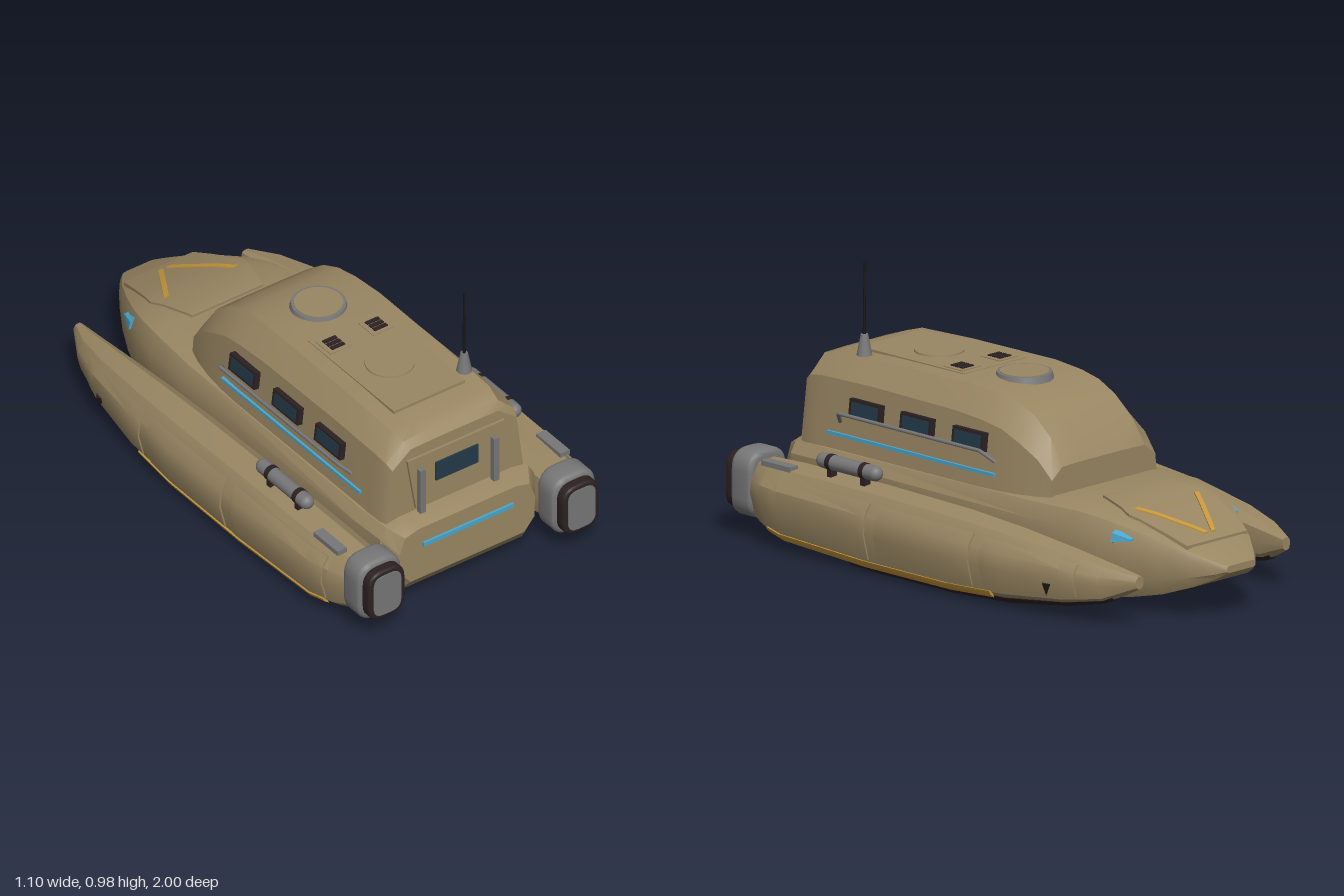
import * as THREE from 'three';
import { toCreasedNormals } from 'three/addons/utils/BufferGeometryUtils.js';

const mat = (name, color) => Object.assign(new THREE.MeshStandardMaterial({ color }), { name });

export function createModel() {
  const M = {
    tan: mat('tan paint', 0x9a8763), grey: mat('grey metal', 0x777777), dark: mat('dark trim', 0x2c2122),
    belly: mat('belly black', 0x1a1413), glass: mat('window glass', 0x233a48), blue: mat('blue light', 0x4aa6cc),
    gold: mat('gold marking', 0xc8983c), black: mat('antenna black', 0x161616),
  };
  const root = new THREE.Group();
  root.name = 'boat';
  const add = (name, geo, m, x = 0, y = 0, z = 0, rx = 0, ry = 0, rz = 0) => {
    const mesh = new THREE.Mesh(geo, m);
    mesh.name = name;
    mesh.position.set(x, y, z);
    mesh.rotation.set(rx, ry, rz);
    root.add(mesh);
    return mesh;
  };
  const box = (w, h, d) => new THREE.BoxGeometry(w, h, d);
  const cyl = (r0, r1, h, n = 20) => new THREE.CylinderGeometry(r0, r1, h, n);

  // Skin over sections ordered from +z to -z, each a counter-clockwise ring
  const loft = (sections, s = 1, crease = 0.5) => {
    const n = sections[0].pts.length, pos = [], idx = [];
    for (const { z, pts } of sections) {
      const ring = s > 0 ? pts : pts.map(([x, y]) => [-x, y]).reverse();
      ring.forEach(([x, y]) => pos.push(x, y, z));
    }
    for (let i = 0; i < sections.length - 1; i++) for (let j = 0; j < n; j++) {
      const a = i * n + j, b = i * n + (j + 1) % n;
      idx.push(a, a + n, b, b, a + n, b + n);
    }
    for (const end of [0, sections.length - 1]) {
      const c = pos.length / 3, p = sections[end].pts;
      pos.push(s * p.reduce((t, q) => t + q[0], 0) / n, p.reduce((t, q) => t + q[1], 0) / n, sections[end].z);
      for (let j = 0; j < n; j++) {
        const a = end * n + j, b = end * n + (j + 1) % n;
        idx.push(c, ...(end ? [b, a] : [a, b]));
      }
    }
    const g = new THREE.BufferGeometry();
    g.setAttribute('position', new THREE.Float32BufferAttribute(pos, 3));
    g.setIndex(idx);
    return toCreasedNormals(g, crease);
  };
  const both = half => [...half, ...half.map(([x, y]) => [-x, y]).reverse()];
  // Linear lookup in a station table whose first column is z, descending
  const at = (table, z) => {
    let i = 0;
    while (i < table.length - 2 && z < table[i + 1][0]) i++;
    const a = table[i], b = table[i + 1], t = (a[0] - z) / (a[0] - b[0]);
    return a.map((v, k) => v + (b[k] - v) * t);
  };

  // Main hull: z, half width, deck, sheer, bottom
  const hull = [
    [0.9, 0.285, 0.315, 0.24, 0.105], [0.84, 0.325, 0.335, 0.285, 0.035], [0.7, 0.335, 0.34, 0.29, 0.03],
    [-0.3, 0.33, 0.345, 0.28, 0.03], [-0.5, 0.318, 0.35, 0.275, 0.035], [-0.6, 0.3, 0.34, 0.265, 0.042],
    [-0.7, 0.265, 0.315, 0.25, 0.055], [-0.8, 0.215, 0.28, 0.23, 0.075], [-0.9, 0.155, 0.24, 0.21, 0.11],
    [-0.97, 0.1, 0.205, 0.19, 0.145], [-1, 0.07, 0.19, 0.18, 0.165]];
  add('hull', loft(hull.map(([z, w, top, sheer, bot]) => ({ z, pts: both([
    [0.84 * w, bot], [0.99 * w, bot + 0.36 * (sheer - bot)], [w, sheer],
    [0.92 * w, sheer + 0.8 * (top - sheer)], [0.72 * w, top]]) }))), M.tan);

  // Dark planing bottom
  const keel = [[0.85, 0.18, 0.05], [0.75, 0.235, 0.008], [0.3, 0.24, 0], [-0.2, 0.24, 0],
    [-0.45, 0.22, 0.012], [-0.65, 0.17, 0.035], [-0.78, 0.09, 0.06]];
  add('bottomPlate', loft(keel.map(([z, w, y]) => ({ z, pts: both([[w, y], [w * 0.97, y + 0.045]]) }))), M.belly);

  // Cabin: z, base half width, shoulder half width and height, roof half width and height
  const cabin = [
    [0.825, 0.29, 0.262, 0.54, 0.185, 0.6], [0.8, 0.298, 0.27, 0.56, 0.2, 0.625], [0.74, 0.302, 0.274, 0.57, 0.21, 0.643],
    [0.5, 0.302, 0.274, 0.575, 0.21, 0.652], [0.1, 0.302, 0.274, 0.57, 0.21, 0.655], [-0.03, 0.302, 0.274, 0.56, 0.205, 0.646],
    [-0.12, 0.298, 0.272, 0.545, 0.2, 0.63], [-0.2, 0.29, 0.268, 0.51, 0.195, 0.595],
    [-0.28, 0.275, 0.26, 0.465, 0.195, 0.53], [-0.34, 0.256, 0.25, 0.4, 0.2, 0.44]];
  add('cabin', loft(cabin.map(([z, b, w, y, t, top]) => ({ z, pts: both([
    [b, 0.32], [w, y], [t, top], [t * 0.5, top + 0.003]]) }))), M.tan);

  // Plates that follow the foredeck: rows of z, x range
  const deckPlate = (rows, lift, s = 1) => loft(rows.map(([z, x0, x1]) => {
    const y = at(hull, z)[2] + lift;
    return { z, pts: [[x0, y - 0.02], [x1, y - 0.02], [x1, y], [x0, y]] };
  }), s);
  add('foredeckHatch', deckPlate([[-0.485, 0.15], [-0.5, 0.154], [-0.6, 0.183], [-0.66, 0.2], [-0.7, 0.19],
    [-0.8, 0.166], [-0.885, 0.145]].map(([z, w]) => [z, -w, w]), 0.009), M.tan);

  // Stern: rear door, window, grab bars and light bar
  const door = new THREE.Shape([[-0.17, 0.35], [0.17, 0.35], [0.205, 0.56], [-0.205, 0.56]].map(p => new THREE.Vector2(...p)));
  add('rearDoor', new THREE.ExtrudeGeometry(door, { depth: 0.02, bevelEnabled: false }), M.tan, 0, 0, 0.815);
  add('rearWindow', box(0.18, 0.076, 0.008), M.glass, 0, 0.472, 0.837);
  add('sternLight', box(0.38, 0.016, 0.012), M.blue, 0, 0.246, 0.903);

  // Roof fittings
  add('roofPanel', box(0.3, 0.012, 0.5), M.tan, 0, 0.653, 0.43);
  add('roofHatchRing', cyl(0.095, 0.102, 0.024, 32), M.grey, 0, 0.656, 0.04);
  add('roofHatch', cyl(0.085, 0.085, 0.026, 32), M.tan, 0, 0.657, 0.04);
  add('rearRoofHatch', cyl(0.085, 0.088, 0.02, 32), M.tan, 0, 0.655, 0.45);
  add('antennaBase', cyl(0.013, 0.028, 0.075, 12), M.grey, 0.19, 0.685, 0.62);
  add('antennaWhip', cyl(0.003, 0.006, 0.255, 8), M.black, 0.19, 0.8475, 0.62);

  // Side pontoons: z, inner x, outer x, top, bottom
  const pod = [
    [0.88, 0.34, 0.49, 0.28, 0.07], [0.8, 0.33, 0.525, 0.285, 0.045], [0.7, 0.328, 0.54, 0.29, 0.025],
    [0.3, 0.328, 0.545, 0.29, 0.008], [-0.1, 0.33, 0.543, 0.282, 0.008], [-0.35, 0.333, 0.525, 0.265, 0.02],
    [-0.6, 0.335, 0.485, 0.235, 0.05], [-0.75, 0.335, 0.44, 0.21, 0.08], [-0.865, 0.336, 0.373, 0.185, 0.14]];
  const podRing = (z, uv) => {
    const [, xi, xo, top, bot] = at(pod, z);
    return { z, pts: uv.map(([u, v]) => [xi + u * (xo - xi), bot + v * (top - bot)]) };
  };
  const podLoft = (z0, z1, uv, s) => loft(
    [z0, ...pod.map(r => r[0]).filter(z => z < z0 && z > z1), z1].map(z => podRing(z, uv)), s);
  const podUV = [[0.35, 0], [0.68, 0], [0.88, 0.13], [1, 0.5], [0.97, 0.72], [0.75, 0.97], [0.3, 1], [0.06, 0.86], [0, 0.5], [0.07, 0.2]];
  const armourUV = [[0.92, 0.17], [1.03, 0.5], [1.0, 0.73], [0.87, 0.88], [0.8, 0.85], [0.9, 0.5], [0.82, 0.2]];
  const stripeUV = [[0.8, 0.04], [0.9, 0.1], [0.93, 0.15], [0.85, 0.14]];
  const soleUV = [[0.2, 0.09], [0.34, -0.02], [0.7, -0.02], [0.8, 0.06], [0.5, 0.12]];

  // Rounded slab for the thrusters
  const slab = (w, h, d, r, bevel) => {
    const x = w / 2 - bevel, y = h / 2 - bevel, s = new THREE.Shape();
    s.moveTo(-x + r, -y).lineTo(x - r, -y).quadraticCurveTo(x, -y, x, -y + r);
    s.lineTo(x, y - r).quadraticCurveTo(x, y, x - r, y).lineTo(-x + r, y);
    s.quadraticCurveTo(-x, y, -x, y - r).lineTo(-x, -y + r).quadraticCurveTo(-x, -y, -x + r, -y);
    const g = new THREE.ExtrudeGeometry(s, { depth: d - 2 * bevel, bevelEnabled: bevel > 0, bevelSize: bevel,
      bevelThickness: bevel, bevelSegments: 3, curveSegments: 6 });
    return toCreasedNormals(g.translate(0, 0, bevel), 0.6);
  };

  for (const s of [1, -1]) {
    const side = s > 0 ? 'left' : 'right';
    const put = (name, geo, m, x, ...rest) => add(side + name, geo, m, s * (x || 0), ...rest);

    // Pontoon with armour, stripe and dark sole
    put('Pontoon', podLoft(0.88, -0.865, podUV, s), M.tan);
    for (const [a, b] of [[0.78, 0.27], [0.22, -0.22], [-0.27, -0.66]]) put('ArmourPanel', podLoft(a, b, armourUV, s), M.tan);
    put('PontoonStripe', podLoft(0.77, -0.3, stripeUV, s), M.gold);
    put('PontoonSole', podLoft(0.4, -0.78, soleUV, s), M.dark);
    put('SideFin', new THREE.ConeGeometry(0.02, 0.045, 4), M.dark, 0.49, 0.105, -0.55, Math.PI);

    // Thruster
    put('ThrusterHousing', slab(0.182, 0.24, 0.1, 0.055, 0.018), M.grey, 0.41, 0.192, 0.86);
    put('ThrusterNozzle', slab(0.152, 0.2, 0.057, 0.05, 0.008), M.dark, 0.41, 0.192, 0.94);
    put('ThrusterFace', slab(0.115, 0.165, 0.006, 0.04, 0), M.grey, 0.41, 0.192, 0.994);

    // Air tank with bands, and a mounting block
    put('Tank', new THREE.CapsuleGeometry(0.027, 0.246, 6, 16), M.grey, 0.438, 0.335, 0.445, Math.PI / 2);
    for (const z of [0.53, 0.37]) put('TankBand', cyl(0.0285, 0.0285, 0.02), M.dark, 0.438, 0.335, z, Math.PI / 2);
    for (const z of [0.53, 0.37]) put('TankFoot', box(0.03, 0.04, 0.02), M.dark, 0.438, 0.3, z);
    put('MountBlock', box(0.04, 0.018, 0.14), M.grey, 0.47, 0.287, 0.75);

    // Cabin side windows, light strip and handrail
    for (const z of [0.507, 0.263, 0.013]) {
      put('WindowFrame', box(0.03, 0.066, 0.15), M.dark, 0.289, 0.49, z, 0, 0, s * 0.12);
      put('Window', box(0.008, 0.046, 0.125), M.glass, 0.302, 0.491, z, 0, 0, s * 0.12);
    }
    put('SideLight', box(0.012, 0.012, 0.8), M.blue, 0.297, 0.385, 0.29);
    const rail = new THREE.CurvePath();
    const rp = [[0.295, 0.432, 0.632], [0.333, 0.472, 0.605], [0.333, 0.472, -0.075], [0.295, 0.432, -0.11]]
      .map(([x, y, z]) => new THREE.Vector3(s * x, y, z));
    for (let i = 0; i < 3; i++) rail.add(new THREE.LineCurve3(rp[i], rp[i + 1]));
    put('Handrail', new THREE.TubeGeometry(rail, 60, 0.007, 8), M.grey);

    // Stern grab bar, roof vents, foredeck chevron and bow light
    put('GrabBar', box(0.022, 0.18, 0.02), M.grey, 0.155, 0.425, 0.846);
    put('RoofVentBase', box(0.09, 0.012, 0.09), M.tan, 0.09, 0.656, 0.25);
    for (let i = 0; i < 3; i++) put('RoofVentSlat', box(0.055, 0.008, 0.016), M.dark, 0.09, 0.662, 0.228 + i * 0.022);
    put('Chevron', deckPlate([[-0.64, 0.135, 0.157], [-0.7, 0.098, 0.12], [-0.8, 0.036, 0.058], [-0.85, 0.006, 0.026]], 0.014, s), M.gold);
    put('BowLight', loft([{ z: -0.66, pts: [[0.25, 0.24], [0.29, 0.255], [0.283, 0.285], [0.25, 0.3]] },
      { z: -0.725, pts: [[0.24, 0.262], [0.262, 0.262], [0.262, 0.27], [0.24, 0.27]] }], s), M.blue);
  }
  return root;
}
